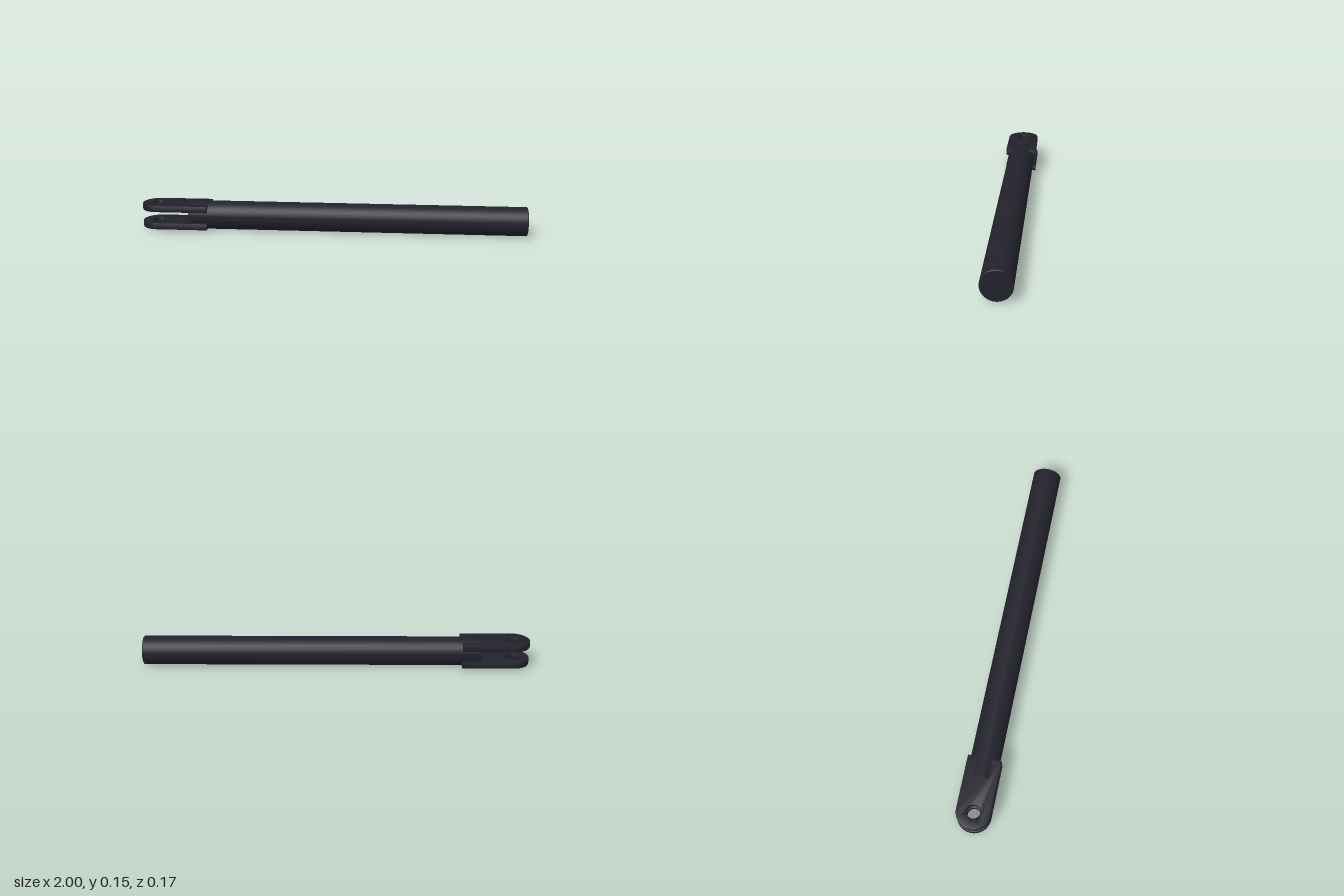
import * as THREE from 'three';
import { toCreasedNormals } from 'three/addons/utils/BufferGeometryUtils.js';

const CENTER_Y = 0.0748; // height of the rod axis
const ROD_R = 0.0745;
const PLATE_R = 0.0855; // half width and end radius of a fork plate

// Rod along x with slightly chamfered ends
function rodGeometry(x0, x1, r, c) {
  const profile = [[0, x0], [r - c, x0], [r, x0 + c], [r, x1 - c], [r - c, x1], [0, x1]]
    .map(([px, py]) => new THREE.Vector2(px, py));
  const geo = new THREE.LatheGeometry(profile, 64);
  geo.rotateZ(-Math.PI / 2);
  return toCreasedNormals(geo, 0.5);
}

// Flat plate with one rounded end, a pin hole and softened edges
function plateGeometry(thickness, bevel) {
  const pivot = -1 + PLATE_R;
  const end = -0.647;
  const shape = new THREE.Shape();
  shape.moveTo(pivot, -PLATE_R);
  shape.lineTo(end, -PLATE_R);
  shape.lineTo(end, PLATE_R);
  shape.lineTo(pivot, PLATE_R);
  shape.absarc(pivot, 0, PLATE_R, Math.PI / 2, Math.PI * 1.5, false);
  const hole = new THREE.Path();
  hole.absarc(pivot, 0, 0.033, 0, Math.PI * 2, true);
  shape.holes.push(hole);
  const depth = thickness - 2 * bevel;
  const geo = new THREE.ExtrudeGeometry(shape, {
    depth, curveSegments: 24, bevelEnabled: true,
    bevelThickness: bevel, bevelSize: bevel, bevelOffset: -bevel, bevelSegments: 2,
  });
  geo.translate(0, 0, -depth / 2);
  geo.rotateX(Math.PI / 2);
  return toCreasedNormals(geo, 0.6);
}

export function createModel() {
  const model = new THREE.Group();
  model.name = 'clevisRod';
  const darkMetal = new THREE.MeshStandardMaterial({ color: 0x22222c });
  darkMetal.name = 'darkMetal';

  const rod = new THREE.Mesh(rodGeometry(-0.746, 1, ROD_R, 0.003), darkMetal);
  rod.name = 'rod';
  rod.position.y = CENTER_Y;
  model.add(rod);

  // Two parallel fork plates, above and below the axis
  const fork = new THREE.Group();
  fork.name = 'fork';
  const plateGeo = plateGeometry(0.035, 0.004);
  for (const side of [1, -1]) {
    const plate = new THREE.Mesh(plateGeo, darkMetal);
    plate.name = side > 0 ? 'upperForkPlate' : 'lowerForkPlate';
    plate.position.y = CENTER_Y + side * 0.0463;
    fork.add(plate);
  }
  model.add(fork);
  return model;
}
